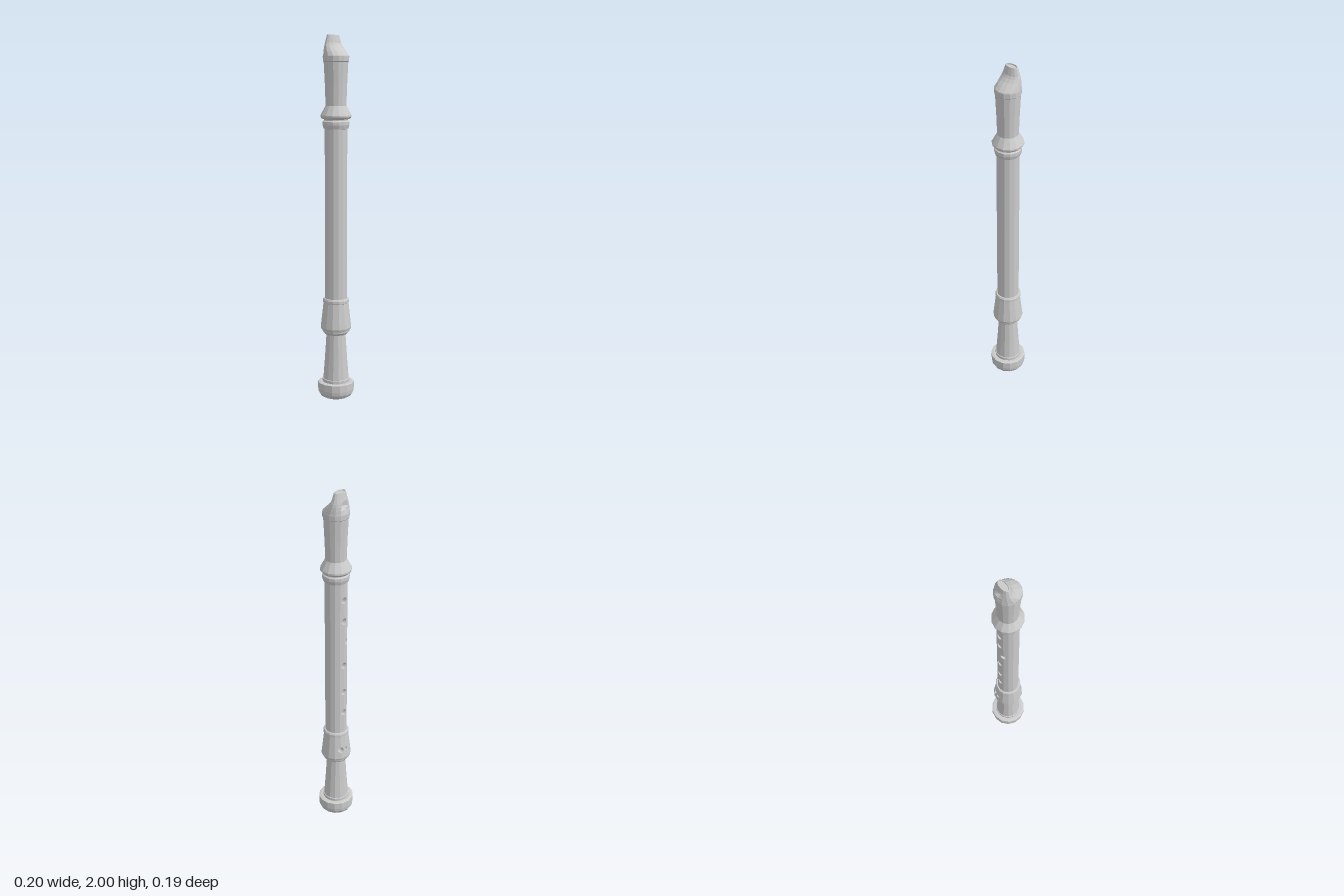
import * as THREE from 'three';

const SIDES = 14;
const STEP = (Math.PI * 2) / SIDES;

export function createModel() {
  const model = new THREE.Group();
  const mat = new THREE.MeshStandardMaterial({ color: 0xcccccc, flatShading: true, side: THREE.DoubleSide });

  const add = (name, geo, parent = model) => {
    const mesh = new THREE.Mesh(geo, mat);
    mesh.name = name;
    parent.add(mesh);
    return mesh;
  };

  // Turned part from [radius, height] pairs, with a corner on the x axis
  const turned = (name, pts) =>
    add(name, new THREE.LatheGeometry(pts.map(([r, y]) => new THREE.Vector2(r, y)), SIDES, Math.PI / 2));

  // Geometry from a grid of rows of points
  const gridGeometry = (rows) => {
    const n = rows[0].length;
    const geo = new THREE.BufferGeometry();
    geo.setAttribute('position', new THREE.Float32BufferAttribute(rows.flat(2), 3));
    const index = [];
    for (let j = 0; j < rows.length - 1; j++) {
      for (let i = 0; i < n - 1; i++) {
        const a = j * n + i, b = a + 1, c = a + n, d = c + 1;
        index.push(a, c, b, b, c, d);
      }
    }
    geo.setIndex(index);
    geo.computeVertexNormals();
    return geo;
  };

  // Faceted tube with round holes centred on its edges: { edge, y, r }
  const piercedTube = (name, r0, y0, r1, y1, holes) => {
    const group = new THREE.Group();
    group.name = name;
    model.add(group);
    const w = (r0 + r1) * Math.sin(STEP / 2);
    for (let k = 0; k < SIDES; k++) {
      const a = (k + 1) * STEP, b = k * STEP;
      const place = (u, y, inset = 1) => {
        const r = THREE.MathUtils.mapLinear(y, y0, y1, r0, r1) * inset;
        const t = u / w;
        return [
          r * THREE.MathUtils.lerp(Math.cos(a), Math.cos(b), t), y,
          r * THREE.MathUtils.lerp(Math.sin(a), Math.sin(b), t),
        ];
      };
      const arc = (u, h, dir) => Array.from({ length: 9 }, (_, i) => {
        const t = -Math.PI / 2 + (Math.PI * i) / 8;
        return new THREE.Vector2(u + dir * h.r * Math.cos(t), h.y + h.r * Math.sin(t));
      });
      const on = (edge) => holes.filter((h) => h.edge === edge).sort((p, q) => p.y - q.y);
      const right = on(k).map((h) => arc(w, h, -1));
      const left = on((k + 1) % SIDES).map((h) => arc(0, h, 1));
      const outline = [
        new THREE.Vector2(0, y0), new THREE.Vector2(w, y0), ...right.flat(),
        new THREE.Vector2(w, y1), new THREE.Vector2(0, y1), ...left.flat().reverse(),
      ];
      const geo = new THREE.ShapeGeometry(new THREE.Shape(outline));
      const pos = geo.attributes.position;
      for (let i = 0; i < pos.count; i++) pos.setXYZ(i, ...place(pos.getX(i), pos.getY(i)));
      geo.computeVertexNormals();
      add('tubeFacet', geo, group);
      // Walls of the holes
      for (const pts of [...right, ...left]) {
        add('holeWall', gridGeometry([1, 0.6].map((s) => pts.map((p) => place(p.x, p.y, s)))), group);
      }
    }
    const bore = add('bore', new THREE.CylinderGeometry(r1 * 0.6, r0 * 0.6, y1 - y0, SIDES, 1, true, Math.PI / 2), group);
    bore.position.y = (y0 + y1) / 2;
  };

  // Foot joint
  turned('footBell', [[0, 0], [0.07, 0], [0.087, 0.009], [0.097, 0.026], [0.1, 0.045], [0.1, 0.085],
    [0.088, 0.088], [0.075, 0.088], [0.075, 0.104], [0.071, 0.106]]);
  turned('footStem', [[0.071, 0.1], [0.062, 0.22], [0.053, 0.36]]);
  turned('footRing', [[0.053, 0.36], [0.064, 0.363], [0.074, 0.375], [0.075, 0.385], [0.081, 0.388], [0.085, 0.4]]);
  piercedTube('footSocket', 0.085, 0.4, 0.069, 0.54,
    [{ edge: 7, y: 0.455, r: 0.011 }, { edge: 8, y: 0.455, r: 0.017 }]);
  turned('socketRing', [[0.069, 0.54], [0.073, 0.543], [0.073, 0.556], [0.068, 0.565], [0.06, 0.565]]);

  // Middle joint with finger holes; the third hole is turned to the side
  const fingerHoles = [1.4, 1.275, 1.14, 1.0, 0.83, 0.695]
    .map((y) => ({ edge: y === 1.14 ? 6 : 7, y, r: 0.019 }));
  piercedTube('middleJoint', 0.061, 0.56, 0.061, 1.505, fingerHoles);

  // Head joint
  turned('middleRing', [[0.061, 1.5], [0.067, 1.502], [0.073, 1.522], [0.073, 1.54], [0.066, 1.546], [0.066, 1.556]]);
  turned('headRing', [[0.066, 1.552], [0.076, 1.555], [0.084, 1.565], [0.084, 1.574], [0.056, 1.625]]);
  turned('headBarrel', [[0.056, 1.62], [0.06, 1.74], [0.066, 1.86]]);
  turned('headCollar', [[0.066, 1.858], [0.07, 1.862], [0.071, 1.888], [0.07, 1.892]]);

  // Beak: oval sections [y, min x, max x, half depth, window dent]
  const sections = [
    [1.89, -0.07, 0.07, 0.068, 0],
    [1.912, -0.066, 0.047, 0.064, 0.004],
    [1.93, -0.062, 0.026, 0.06, 0.022],
    [1.945, -0.058, 0.012, 0.056, 0.02],
    [1.958, -0.055, 0.004, 0.051, 0],
    [1.975, -0.051, 0.0, 0.046, 0],
    [2.0, -0.046, -0.006, 0.038, 0],
    [2.0, -0.042, -0.01, 0.033, 0],
    [1.994, -0.041, -0.011, 0.032, 0],
    [1.994, -0.026, -0.026, 0, 0],
  ];
  add('beak', gridGeometry(sections.map(([y, x0, x1, hz, dent]) =>
    Array.from({ length: SIDES + 1 }, (_, k) => [
      (x0 + x1) / 2 + ((x1 - x0) / 2) * Math.cos(k * STEP) + (k === 7 ? dent : 0),
      y,
      hz * Math.sin(k * STEP),
    ]))));

  return model;
}
